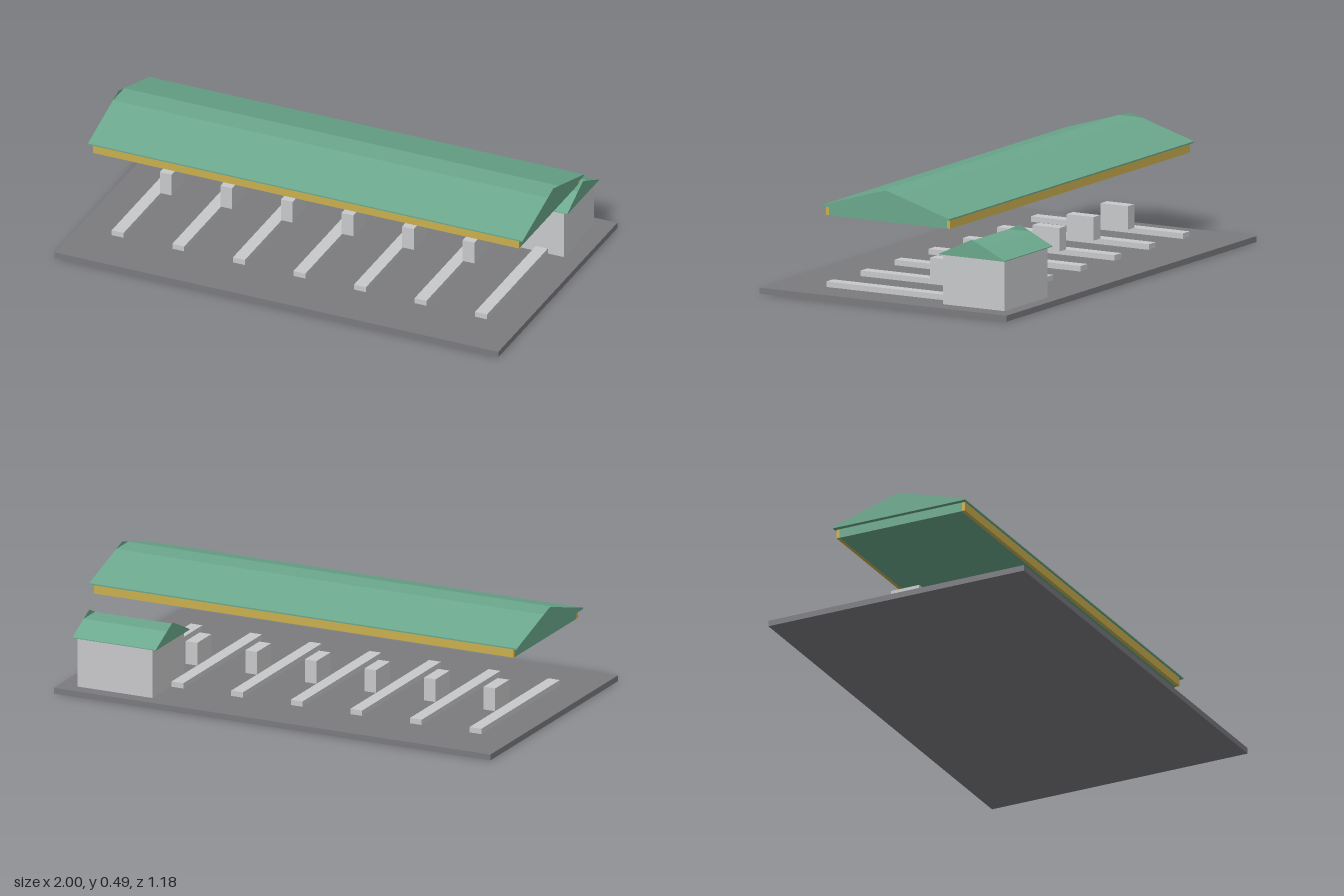
import * as THREE from 'three';

const flat = (name, color) => {
  const m = new THREE.MeshStandardMaterial({ color });
  m.name = name;
  return m;
};

export function createModel() {
  const model = new THREE.Group();
  model.name = 'fuelStation';

  const asphalt = flat('asphalt', 0x7b7b7f);
  const concrete = flat('lightGrey', 0xc8c9cb);
  const green = flat('roofGreen', 0x6ba88d);
  green.side = THREE.DoubleSide;
  const yellow = flat('trimYellow', 0xcbb04e);

  // Box given by its lower and upper corners
  function box(name, mat, [x0, y0, z0], [x1, y1, z1], parent = model) {
    const mesh = new THREE.Mesh(new THREE.BoxGeometry(x1 - x0, y1 - y0, z1 - z0), mat);
    mesh.position.set((x0 + x1) / 2, (y0 + y1) / 2, (z0 + z1) / 2);
    mesh.name = name;
    parent.add(mesh);
    return mesh;
  }

  // Pitched roof with a flat ridge strip, and a small gable tip standing at each end
  function roof(name, x0, x1, zc, half, eave, lip, ridge, ridgeHalf, peak) {
    const g = new THREE.Group();
    g.name = name;
    const profile = new THREE.Shape([
      [-half, eave], [half, eave], [half, eave + lip],
      [ridgeHalf, ridge], [-ridgeHalf, ridge], [-half, eave + lip],
    ].map(([z, y]) => new THREE.Vector2(z, y)));
    const slab = new THREE.Mesh(
      new THREE.ExtrudeGeometry(profile, { depth: x1 - x0, bevelEnabled: false }), green);
    slab.name = 'roofSlopes';
    slab.rotation.y = Math.PI / 2;
    slab.position.set(x0, 0, zc);
    g.add(slab);
    const tip = new THREE.ShapeGeometry(new THREE.Shape([
      new THREE.Vector2(-ridgeHalf, ridge), new THREE.Vector2(ridgeHalf, ridge),
      new THREE.Vector2(0, peak),
    ]));
    for (const [x, turn] of [[x0, -1], [x1, 1]]) {
      const end = new THREE.Mesh(tip, green);
      end.name = 'gableTip';
      end.rotation.y = turn * Math.PI / 2;
      end.position.set(x, 0, zc);
      g.add(end);
    }
    model.add(g);
  }

  // Ground slab
  box('groundSlab', asphalt, [-1, 0, -0.59], [1, 0.025, 0.59]);

  // Seven islands, with a pump beside each of the first six
  for (let i = 0; i < 7; i++) {
    const x = (i - 3) * 0.273;
    box('island', concrete, [x - 0.027, 0.025, -0.363], [x + 0.027, 0.048, 0.363]);
    if (i < 6) box('pump', concrete, [x + 0.025, 0.049, -0.13], [x + 0.078, 0.147, 0]);
  }

  // Canopy: roof, fascia box below it and yellow edge strips
  roof('canopyRoof', -0.98, 0.98, 0, 0.304, 0.39, 0.006, 0.471, 0.055, 0.487);
  box('canopyFascia', green, [-0.96, 0.351, -0.282], [0.96, 0.39, 0.282]);
  for (const s of [-1, 1]) {
    const strip = box('canopyTrim', yellow, [-0.96, 0.352, -0.0075], [0.96, 0.39, 0.0075]);
    strip.position.z = s * 0.2895;
  }

  // Kiosk at the back
  box('kioskWalls', concrete, [0.577, 0.025, -0.532], [0.92, 0.235, -0.239]);
  roof('kioskRoof', 0.556, 0.938, -0.387, 0.157, 0.235, 0.003, 0.288, 0.052, 0.312);

  return model;
}
